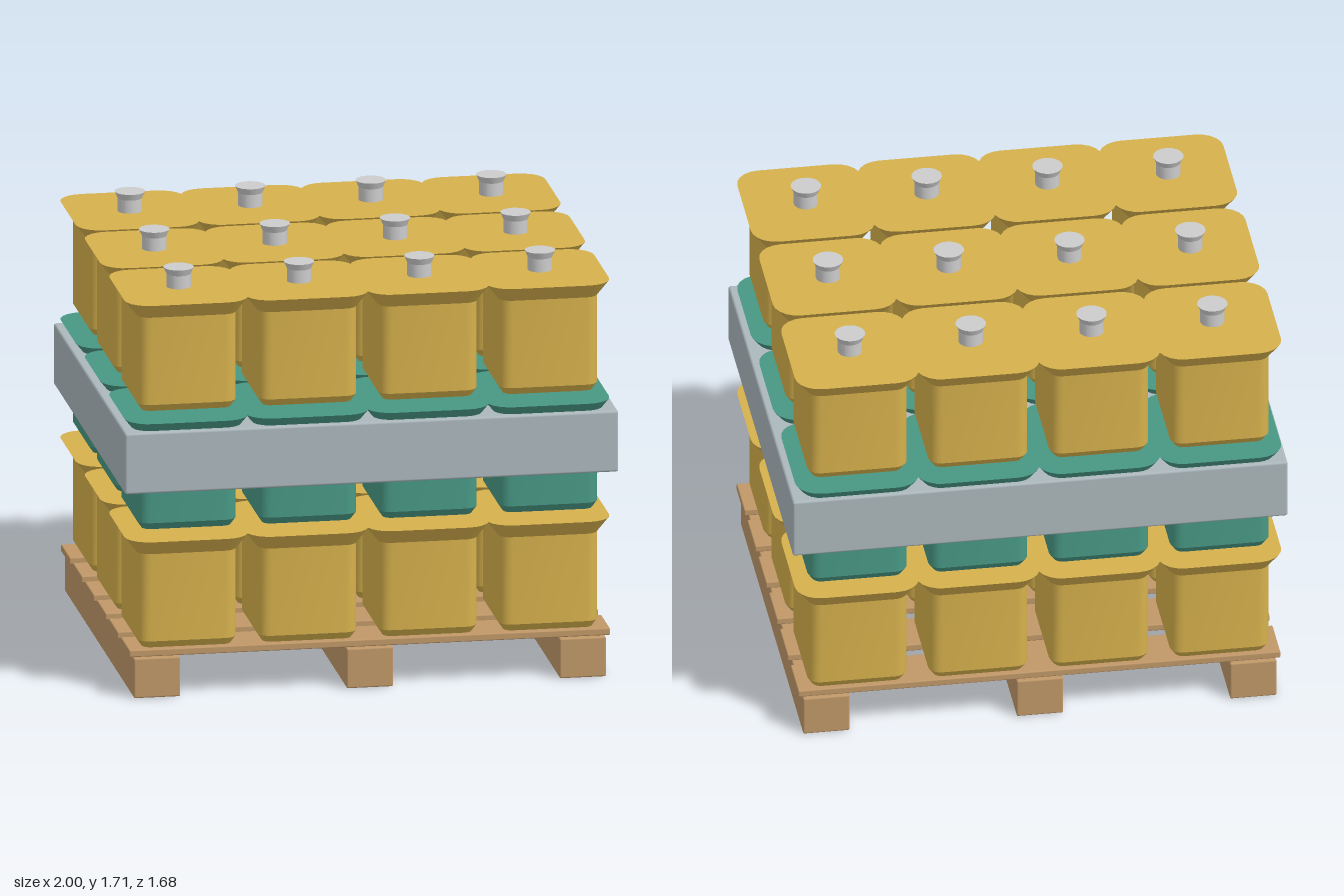
import * as THREE from 'three';
import { toCreasedNormals } from 'three/addons/utils/BufferGeometryUtils.js';
import { RoundedBoxGeometry } from 'three/addons/geometries/RoundedBoxGeometry.js';

const material = (color) => new THREE.MeshStandardMaterial({ color });
const yellow = material(0xd5b04c);
const teal = material(0x489884);
const steel = material(0xacb8bc);
const wood = material(0xc09868);
const grey = material(0xcccccc);

// Outline of a rounded rectangle, as points in the ground plane
function roundedRing(halfX, halfZ, radius, y, steps = 5) {
  const points = [];
  const corners = [[1, 1], [-1, 1], [-1, -1], [1, -1]];
  corners.forEach(([sx, sz], quarter) => {
    for (let i = 0; i <= steps; i++) {
      const a = (quarter + i / steps) * Math.PI / 2;
      points.push([
        sx * (halfX - radius) + radius * Math.cos(a), y,
        sz * (halfZ - radius) + radius * Math.sin(a),
      ]);
    }
  });
  return points;
}

// Skin stacked rings from bottom to top and close both ends
function loft(rings) {
  const n = rings[0].length;
  const index = [];
  const positions = rings.flat(2);
  for (let r = 0; r < rings.length - 1; r++) {
    for (let i = 0; i < n; i++) {
      const a = r * n + i, b = r * n + (i + 1) % n;
      index.push(a, a + n, b, b, a + n, b + n);
    }
  }
  const top = (rings.length - 1) * n;
  for (let i = 1; i < n - 1; i++) {
    index.push(0, i, i + 1);
    index.push(top, top + i + 1, top + i);
  }
  const geometry = new THREE.BufferGeometry();
  geometry.setAttribute('position', new THREE.Float32BufferAttribute(positions, 3));
  geometry.setIndex(index);
  return toCreasedNormals(geometry, 0.45);
}

function addMesh(parent, name, geometry, mat, x, y, z) {
  const mesh = new THREE.Mesh(geometry, mat);
  mesh.name = name;
  mesh.position.set(x, y, z);
  parent.add(mesh);
  return mesh;
}

// Box with slightly softened edges, placed by its bottom
function addBox(parent, name, size, mat, x, bottom, z, bevel) {
  const geometry = new RoundedBoxGeometry(...size, 2, bevel);
  return addMesh(parent, name, geometry, mat, x, bottom + size[1] / 2, z);
}

export function createModel() {
  const model = new THREE.Group();
  model.name = 'palletOfContainers';

  // Pallet: three bearers carrying six deck boards
  const pallet = new THREE.Group();
  pallet.name = 'pallet';
  model.add(pallet);
  for (const x of [-0.865, -0.003, 0.86]) {
    addBox(pallet, 'bearer', [0.188, 0.165, 1.62], wood, x, 0, 0, 0.007);
  }
  for (let i = 0; i < 6; i++) {
    addBox(pallet, 'deckBoard', [1.948, 0.029, 0.204], wood, -0.002, 0.168, (i - 2.5) * 0.279, 0.005);
  }

  // Container: bevelled foot, straight walls, flared rim with a closed top
  const containerGeometry = loft([
    roundedRing(0.18, 0.205, 0.035, 0),
    roundedRing(0.2, 0.226, 0.05, 0.03),
    roundedRing(0.2, 0.226, 0.05, 0.392),
    roundedRing(0.25, 0.274, 0.1, 0.454),
  ]);

  // Peg: round post with a flared head
  const pegProfile = [[0, 0.4], [0.049, 0.4], [0.049, 0.508], [0.061, 0.535], [0, 0.535]]
    .map(([r, y]) => new THREE.Vector2(r, y));
  const pegGeometry = toCreasedNormals(new THREE.LatheGeometry(pegProfile, 28), 0.4);

  // Three layers of four by three containers
  const layers = [['lowerLayer', yellow, 0.198], ['middleLayer', teal, 0.688], ['upperLayer', yellow, 1.178]];
  for (const [name, mat, base] of layers) {
    const layer = new THREE.Group();
    layer.name = name;
    layer.position.y = base;
    model.add(layer);
    for (let column = 0; column < 4; column++) {
      for (let row = 0; row < 3; row++) {
        const x = -0.004 + (column - 1.5) * 0.488;
        const z = (row - 1) * 0.568 - 0.003;
        addMesh(layer, 'container', containerGeometry, mat, x, 0, z);
        addMesh(layer, 'peg', pegGeometry, grey, x, 0, z);
      }
    }
  }

  // Solid band around the middle layer
  addBox(model, 'band', [2, 0.253, 1.672], steel, 0, 0.853, 0, 0.01);

  return model;
}
